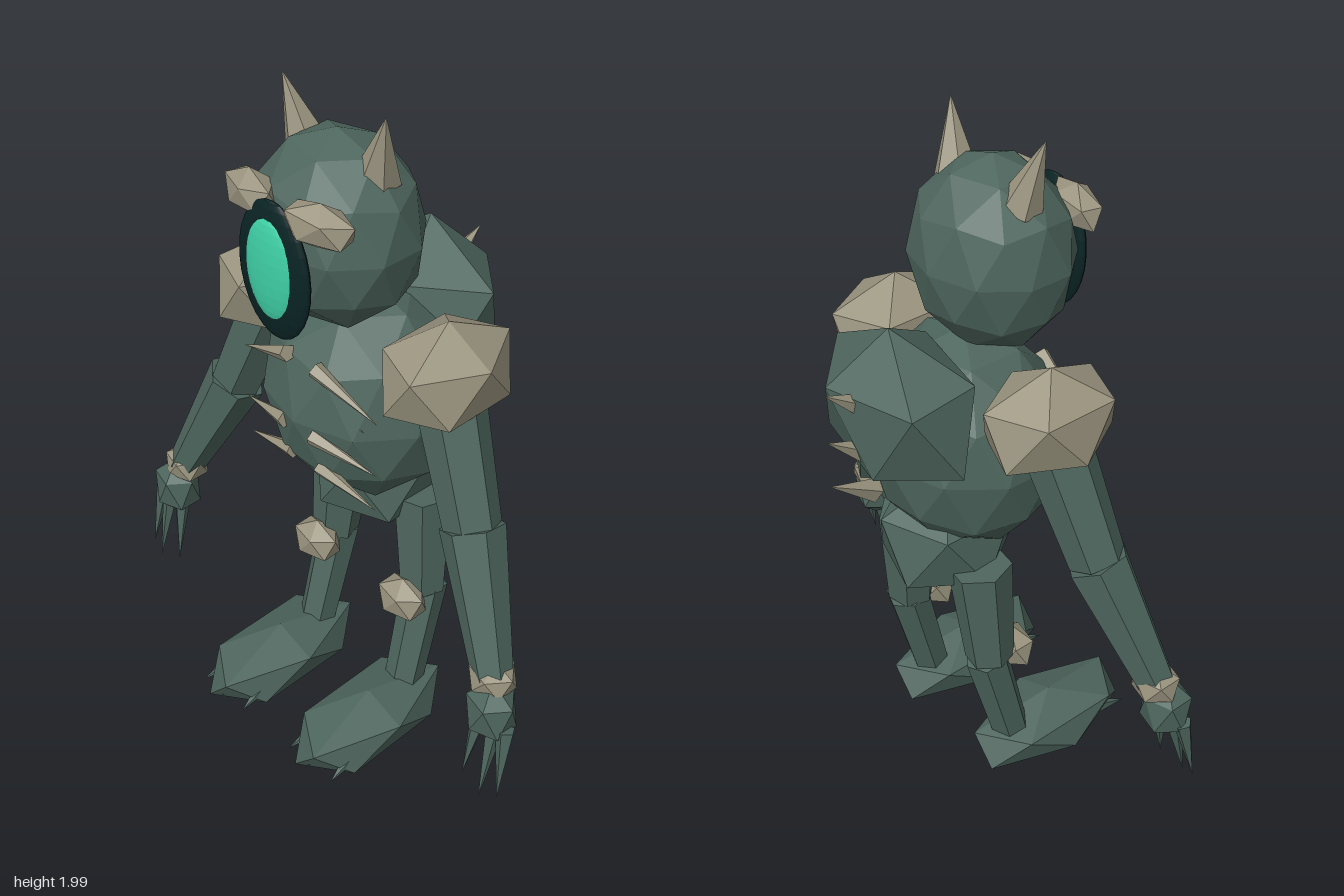
import * as THREE from 'three';

const flat = (color, name) => {
  const m = new THREE.MeshStandardMaterial({ color, flatShading: true });
  m.name = name;
  return m;
};

// Icosahedron standing on a pole, with one upper corner towards +x
function facetBall(detail) {
  const v = [0, 1, 0];
  const h = 1 / Math.sqrt(5), r = 2 * h;
  for (const [y, turn] of [[h, 0], [-h, Math.PI / 5]]) {
    for (let i = 0; i < 5; i++) {
      const a = turn + (i * Math.PI * 2) / 5;
      v.push(r * Math.cos(a), y, r * Math.sin(a));
    }
  }
  v.push(0, -1, 0);
  const f = [];
  for (let i = 0; i < 5; i++) {
    const j = (i + 1) % 5, u = 1 + i, un = 1 + j, l = 6 + i, ln = 6 + j;
    f.push(0, un, u, u, un, l, un, ln, l, 11, l, ln);
  }
  return new THREE.PolyhedronGeometry(v, f, 1, detail);
}

export function createModel() {
  const hide = flat(0x4e665e, 'hide green');
  const bone = flat(0x9a947f, 'bone');
  const socketDark = flat(0x0a2324, 'socket dark');
  const glow = flat(0x3fd0a6, 'eye teal');

  const model = new THREE.Group();
  model.name = 'creature';
  const coarse = facetBall(0), fine = facetBall(1);
  const lens = new THREE.SphereGeometry(1, 28, 14);

  function add(name, geometry, material, pos, scale = [1, 1, 1], rot = [0, 0, 0]) {
    const mesh = new THREE.Mesh(geometry, material);
    mesh.name = name;
    mesh.position.set(...pos);
    mesh.scale.set(...scale);
    mesh.rotation.set(...rot);
    model.add(mesh);
    return mesh;
  }

  // Tapered prism from a to b; an end radius of 0 makes a spike
  function taper(name, material, a, b, ra, rb, sides = 6) {
    const p = new THREE.Vector3(...a), q = new THREE.Vector3(...b);
    const dir = q.clone().sub(p);
    const mesh = add(name, new THREE.CylinderGeometry(rb, ra, dir.length(), sides), material,
      p.clone().add(q).multiplyScalar(0.5).toArray());
    mesh.quaternion.setFromUnitVectors(new THREE.Vector3(0, 1, 0), dir.normalize());
    return mesh;
  }

  // Body
  add('torso', fine, hide, [0, 1.13, 0.01], [0.29, 0.33, 0.26]);
  add('pelvis', coarse, hide, [0, 0.83, -0.055], [0.2, 0.19, 0.215]);
  add('hump', coarse, hide, [0, 1.305, -0.205], [0.27, 0.242, 0.19], [-0.12, 0, 0]);
  [[1.43, -0.32], [1.29, -0.32], [1.155, -0.295]].forEach(([y, z]) =>
    taper('backSpike', bone, [0, y - 0.075, z], [0, y, -0.435], 0.035, 0, 5));

  // Head and single eye
  add('head', fine, hide, [0, 1.645, 0.1], [0.235, 0.265, 0.208]);
  add('eyeSocket', lens, socketDark, [0, 1.605, 0.31], [0.125, 0.19, 0.028]);
  add('eye', lens, glow, [0, 1.613, 0.324], [0.083, 0.14, 0.022]);

  for (const s of [-1, 1]) {
    const side = s > 0 ? 'left' : 'right';

    // Horn and brow
    taper(side + 'Horn', bone, [s * 0.12, 1.815, 0.085], [s * 0.175, 2, 0.112], 0.06, 0, 6);
    add(side + 'Brow', coarse, bone, [s * 0.118, 1.762, 0.272], [0.108, 0.06, 0.056],
      [0, s * 0.25, s * -0.08]);

    // Ribs: base near the breastbone, tip outwards
    [[1.305, 0.235, 0.25], [1.205, 0.205, 0.19], [1.1, 0.25, 0.25], [0.985, 0.225, 0.245]]
      .forEach(([y, zIn, xOut], i) =>
        taper(side + 'Rib', bone, [s * 0.05, y, zIn],
          [s * xOut, y - (i === 0 ? 0.085 : 0.045), i === 1 ? 0.2 : 0.21], 0.024, 0, 5));

    // Arm
    const shoulder = [s * 0.305, 1.32, 0.025], elbow = [s * 0.46, 0.94, 0.075];
    const wrist = [s * 0.63, 0.57, 0.16];
    add(side + 'ShoulderPad', coarse, bone, [s * 0.31, 1.325, 0.027], [0.16, 0.15, 0.212]);
    taper(side + 'UpperArm', hide, shoulder, elbow, 0.095, 0.078);
    add(side + 'Elbow', coarse, hide, elbow, [0.07, 0.07, 0.07]);
    taper(side + 'Forearm', hide, elbow, wrist, 0.088, 0.055);
    add(side + 'WristCuff', coarse, bone, [s * 0.627, 0.575, 0.157], [0.075, 0.062, 0.068]);
    add(side + 'Hand', coarse, hide, [s * 0.65, 0.485, 0.182], [0.08, 0.105, 0.072]);
    [[-0.045, 0.24, 0.235], [0.03, 0.215, 0.25], [0.08, 0.24, 0.235]].forEach(([dx, y, z]) =>
      taper(side + 'Finger', hide, [s * (0.653 + dx * 0.7), 0.46, 0.19],
        [s * (0.65 + dx), y, z], 0.027, 0, 5));

    // Leg
    const hip = [s * 0.155, 0.8, -0.065], knee = [s * 0.18, 0.475, -0.045];
    taper(side + 'Thigh', hide, hip, knee, 0.09, 0.07);
    taper(side + 'Shin', hide, [s * 0.18, 0.48, -0.058], [s * 0.188, 0.12, 0.04], 0.065, 0.056);
    add(side + 'KneePad', coarse, bone, [s * 0.177, 0.47, 0.033], [0.087, 0.07, 0.062]);

    // Foot with toe claws
    add(side + 'Foot', coarse, hide, [s * 0.19, 0.107, 0.182], [0.145, 0.1, 0.302]);
    for (const t of [-1, 0, 1]) {
      taper(side + 'ToeClaw', hide, [s * 0.19 + t * 0.07, 0.1, 0.31],
        [s * 0.19 + t * 0.088, 0.075, t ? 0.42 : 0.435], 0.026, 0, 5);
    }
  }
  return model;
}
